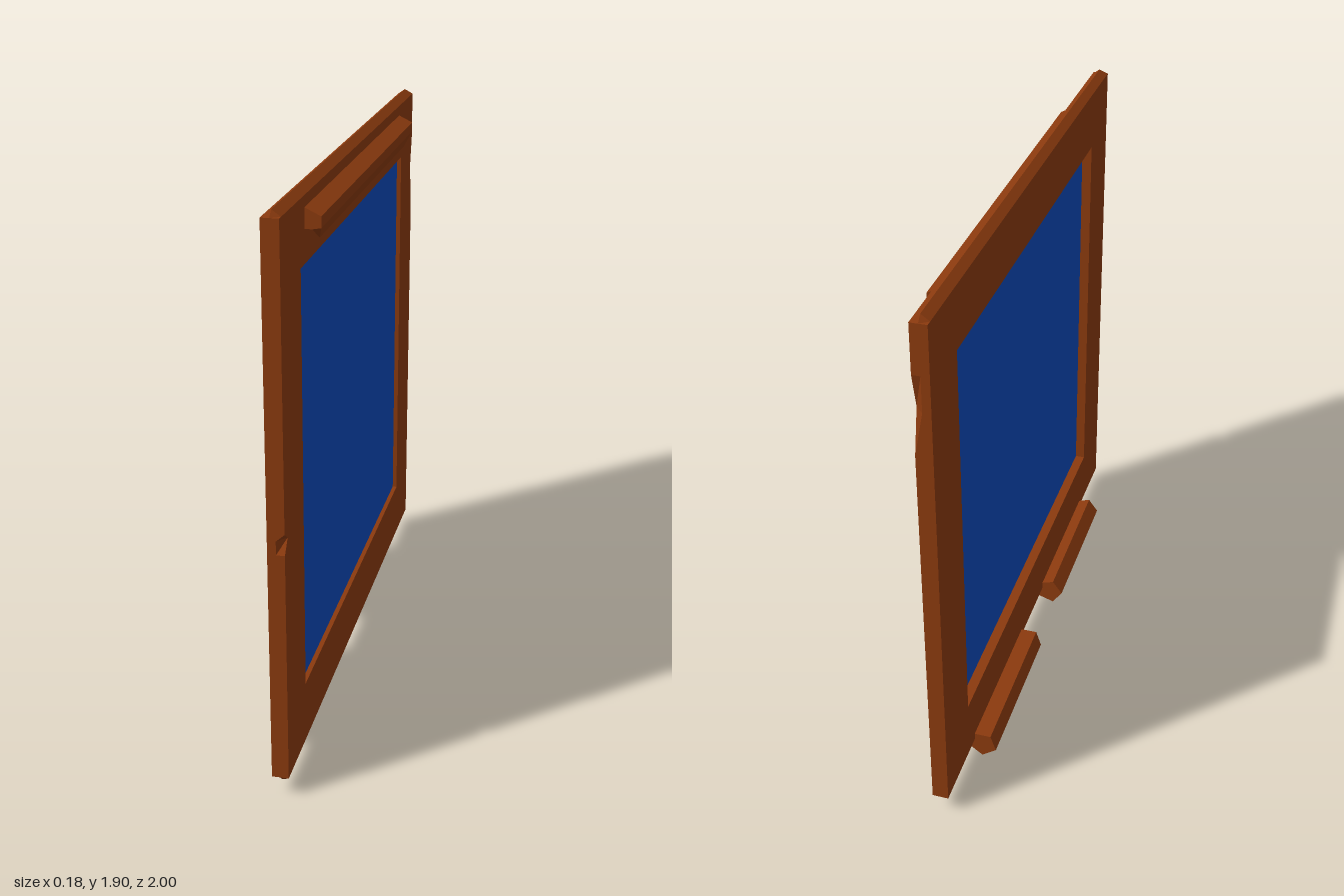
import * as THREE from 'three';

const wood = new THREE.MeshStandardMaterial({ color: 0x8b3a0e, flatShading: true });
const glass = new THREE.MeshStandardMaterial({ color: 0x0d4abb, flatShading: true });

const BACK = -0.015, FRONT = 0.04;         // frame faces along x
const LOW = 0.07, HIGH = 1.885, RIDGE = 0.02; // shoulders and ridge height

function part(name, geometry, material = wood) {
  const mesh = new THREE.Mesh(geometry, material);
  mesh.name = name;
  return mesh;
}

// Frame: extruded along x, ridged top and bottom edges, a chip in each side edge
function frameGeometry() {
  const inset = 1 - RIDGE;
  const outline = [ // (z, y)
    [1, LOW], [1, 0.86], [0.965, 0.905], [1, 0.93], [1, HIGH], [inset, HIGH],
    [-inset, HIGH], [-1, HIGH], [-1, 1.72], [-0.97, 1.6], [-1, 1.45], [-1, LOW],
    [-inset, LOW], [inset, LOW],
  ];
  const toShape = ([z, y]) => new THREE.Vector2(-z, y);
  const shape = new THREE.Shape(outline.map(toShape));
  const opening = [[0.775, 0.28], [-0.775, 0.28], [-0.775, 1.68], [0.775, 1.68]];
  shape.holes.push(new THREE.Path(opening.map(toShape)));

  const depth = FRONT - BACK;
  const geo = new THREE.ExtrudeGeometry(shape, { depth, steps: 2, bevelEnabled: false });
  geo.rotateY(Math.PI / 2).translate(BACK, 0, 0);

  const p = geo.attributes.position;
  for (let i = 0; i < p.count; i++) {
    const x = p.getX(i), y = p.getY(i), z = p.getZ(i);
    const middle = Math.abs(x - (BACK + FRONT) / 2) < 1e-4;
    // Chips cut only the +x edge
    const chipped = Math.abs(z) > 0.9 && Math.abs(z) < 0.975;
    if (chipped && x < FRONT - 1e-4) p.setZ(i, Math.sign(z));
    // Middle ring rises into the ridges
    if (middle && Math.abs(Math.abs(z) - inset) < 1e-4) {
      if (y > HIGH - 1e-4) p.setY(i, HIGH + RIDGE);
      if (y < LOW + 1e-4) p.setY(i, LOW - RIDGE);
    }
  }
  geo.computeVertexNormals();
  return geo;
}

// Handle: hooked grip profile along z, lip cut back at both ends
function handleGeometry() {
  const half = 0.725, tip = 1.745;
  const profile = [
    [0.038, 1.85], [0.09, 1.825], [0.09, 1.79], [0.07, tip], [0.063, 1.785], [0.038, 1.785],
  ].map(([x, y]) => new THREE.Vector2(x, y));
  const geo = new THREE.ExtrudeGeometry(new THREE.Shape(profile), { depth: 2 * half, bevelEnabled: false });
  geo.translate(0, 0, -half);
  const p = geo.attributes.position;
  for (let i = 0; i < p.count; i++) {
    if (Math.abs(p.getY(i) - tip) < 1e-4) p.setZ(i, Math.sign(p.getZ(i)) * 0.665);
  }
  geo.computeVertexNormals();
  return geo;
}

export function createModel() {
  const model = new THREE.Group();
  model.name = 'windowShutter';

  model.add(part('frame', frameGeometry()));

  // Pane set into the opening
  const pane = part('pane', new THREE.BoxGeometry(0.004, 1.4, 1.55), glass);
  pane.position.set(0.022, 0.98, 0);
  model.add(pane);

  model.add(part('handle', handleGeometry()));

  // Two five-sided hinge barrels behind the bottom edge
  for (const [z, y, turn] of [[0.427, 0.06, -Math.PI / 2], [-0.43, 0.053, 0]]) {
    const geo = new THREE.CylinderGeometry(0.052, 0.052, 0.57, 5);
    geo.rotateX(Math.PI / 2).rotateZ(turn);
    const hinge = part(z > 0 ? 'frontHinge' : 'rearHinge', geo);
    hinge.position.set(-0.042, y, z);
    model.add(hinge);
  }
  return model;
}
